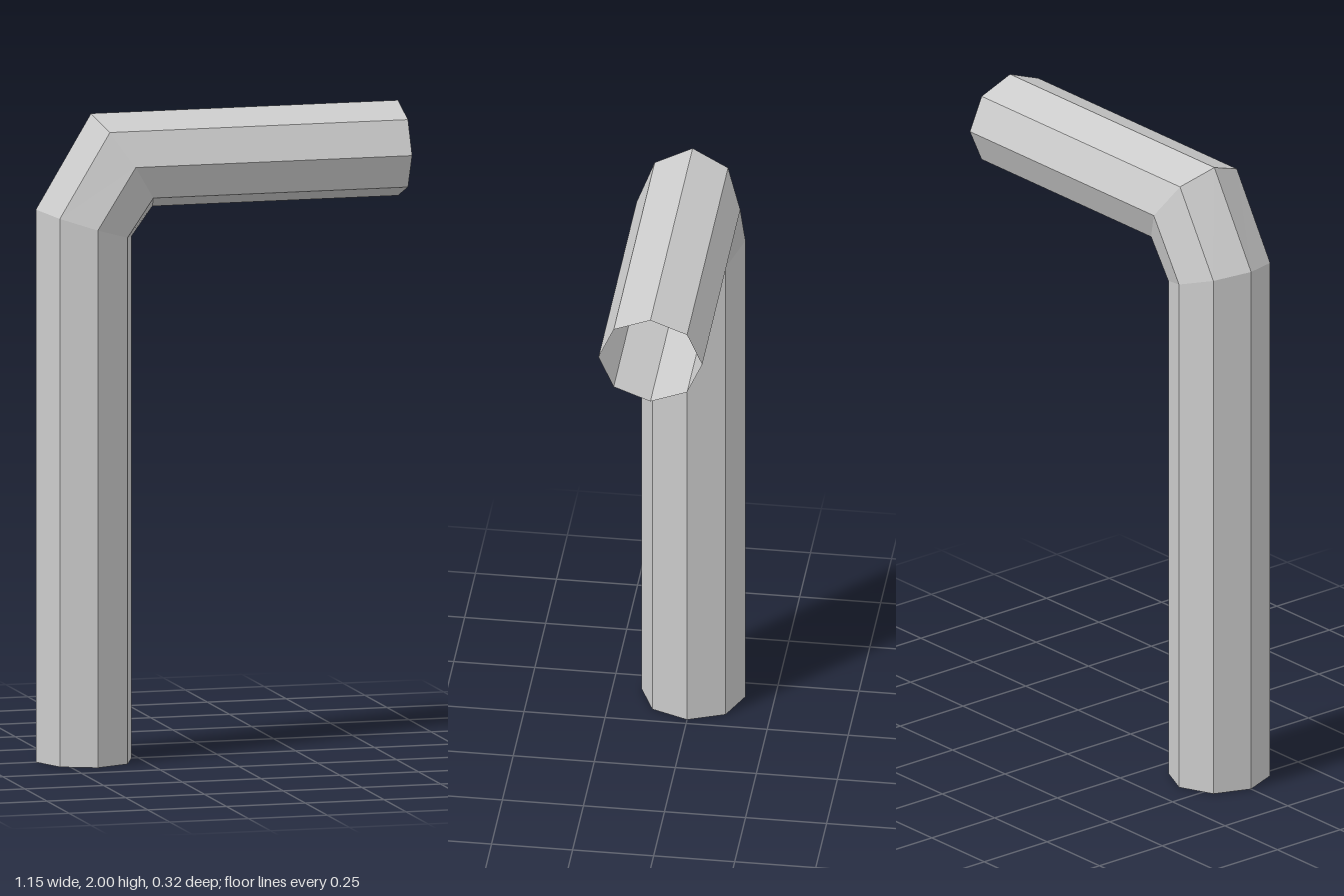
import * as THREE from 'three';

const SIDES = 8;
const HALF_WIDTH = 0.16;

// Each ring is an ellipse given by its outer-bend and inner-bend points [x, y].
const RINGS = [
  { outer: [-0.575, 0], inner: [-0.271, 0] },         // open foot
  { outer: [-0.575, 1.71], inner: [-0.271, 1.615] },  // start of the bend
  { outer: [-0.4, 2], inner: [-0.205, 1.705] },       // end of the bend
  { outer: [0.575, 2], inner: [0.575, 1.705] },       // open arm end
];

function ringPoint(ring, i) {
  const a = (i / SIDES) * Math.PI * 2;
  const t = (1 - Math.cos(a)) / 2; // 0 on the outer bend, 1 on the inner
  return [
    THREE.MathUtils.lerp(ring.outer[0], ring.inner[0], t),
    THREE.MathUtils.lerp(ring.outer[1], ring.inner[1], t),
    Math.sin(a) * HALF_WIDTH,
  ];
}

// Open tube section between two rings
function section(name, from, to, material) {
  const positions = [];
  for (let i = 0; i < SIDES; i++) {
    const a = ringPoint(from, i), b = ringPoint(from, i + 1);
    const c = ringPoint(to, i + 1), d = ringPoint(to, i);
    positions.push(...a, ...b, ...c, ...a, ...c, ...d);
  }
  const geometry = new THREE.BufferGeometry();
  geometry.setAttribute('position', new THREE.Float32BufferAttribute(positions, 3));
  geometry.computeVertexNormals();
  const mesh = new THREE.Mesh(geometry, material);
  mesh.name = name;
  return mesh;
}

export function createModel() {
  const group = new THREE.Group();
  group.name = 'bentPipe';
  const material = new THREE.MeshStandardMaterial({
    color: 0xcccccc, flatShading: true, side: THREE.DoubleSide,
  });
  ['uprightPipe', 'elbow', 'horizontalPipe'].forEach((name, i) => {
    group.add(section(name, RINGS[i], RINGS[i + 1], material));
  });
  return group;
}
